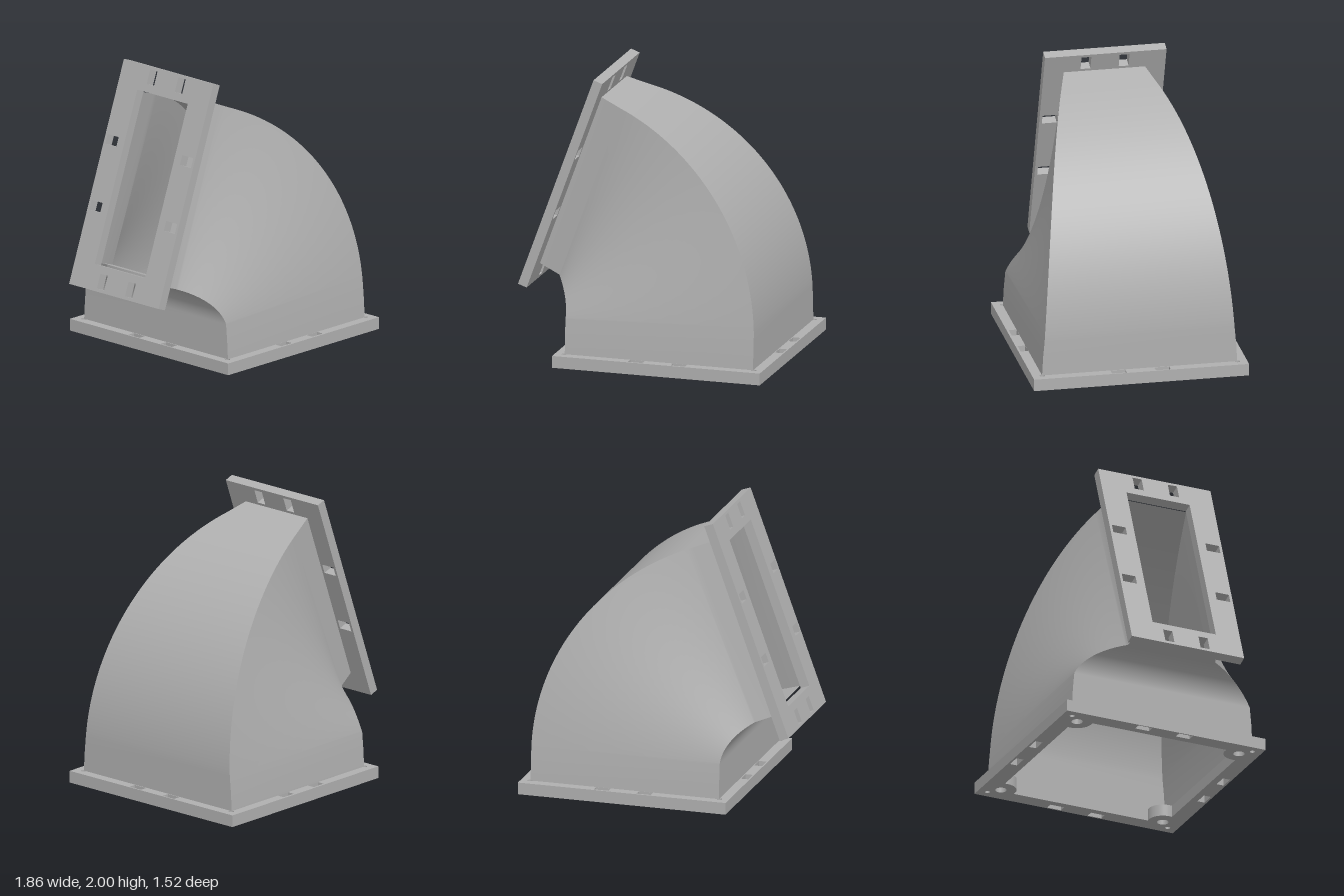
import * as THREE from 'three';

const SWEEP = THREE.MathUtils.degToRad(70);
const WALL = 0.045;
const BEND = { x: -0.74, y: 0.335 }; // centre of the elbow bend

// Cross-sections of the duct: origin on the inner bend line, direction, radii, half depth
function stations() {
  const list = [];
  const add = (angle, lift, outer, half) => list.push({ angle, lift, outer, half });
  add(0, -0.25, 1.6, 0.69);
  add(0, -0.12, 1.6, 0.683);
  const n = 40;
  for (let i = 0; i <= n; i++) {
    const p = i / n;
    add(p * SWEEP, 0, 1.6 - 0.06 * p, 0.672 - 0.13 * p - 0.207 * p * p);
  }
  add(SWEEP, 0.168, 1.54, 0.287);
  return list;
}

// Rectangular skin lofted through the stations, one smooth strip per side
function ductSkin(inset, inward) {
  const pos = [], index = [];
  const rings = stations().map(({ angle, lift, outer, half }) => {
    const c = Math.cos(angle), s = Math.sin(angle);
    const r0 = 0.23 + inset, r1 = outer - inset, h = half - inset;
    return [[r0, -h], [r1, -h], [r1, h], [r0, h]].map(([r, z]) =>
      [BEND.x + r * c - lift * s, BEND.y + r * s + lift * c, z]);
  });
  for (let k = 0; k < 4; k++) {
    const start = pos.length / 3;
    rings.forEach((ring, i) => {
      pos.push(...ring[k], ...ring[(k + 1) % 4]);
      if (i === rings.length - 1) return;
      const a = start + i * 2, b = a + 1, c = a + 2, d = a + 3;
      if (inward) index.push(a, b, c, b, d, c);
      else index.push(a, c, b, b, c, d);
    });
  }
  const geo = new THREE.BufferGeometry();
  geo.setAttribute('position', new THREE.Float32BufferAttribute(pos, 3));
  geo.setIndex(index);
  geo.computeVertexNormals();
  return geo;
}

function rectPath(cx, cy, w, h, Type = THREE.Path) {
  const p = new Type();
  p.moveTo(cx - w / 2, cy - h / 2);
  p.lineTo(cx + w / 2, cy - h / 2);
  p.lineTo(cx + w / 2, cy + h / 2);
  p.lineTo(cx - w / 2, cy + h / 2);
  p.closePath();
  return p;
}

function circlePath(x, y, r) {
  return new THREE.Path().absarc(x, y, r, 0, Math.PI * 2, false);
}

// Flat plate lying on its back, thickness along +y
function plate(shape, depth) {
  const geo = new THREE.ExtrudeGeometry(shape, { depth, bevelEnabled: false, curveSegments: 20 });
  return geo.rotateX(-Math.PI / 2);
}

// Square flange whose opening is bitten by four round screw bosses
function baseFlange() {
  const shape = rectPath(0, 0, 1.51, 1.52, THREE.Shape);
  const half = 0.64, boss = 0.62, radius = 0.108;
  const lean = Math.acos((half - boss) / radius);
  const opening = new THREE.Path();
  for (let k = 0; k < 4; k++) {
    const turn = k * Math.PI / 2;
    const spot = (d) => {
      const a = turn + Math.PI / 4, r = d * Math.SQRT2;
      return [r * Math.cos(a), r * Math.sin(a)];
    };
    opening.absarc(...spot(boss), radius, turn - lean, turn + Math.PI / 2 + lean, true);
    shape.holes.push(circlePath(...spot(boss), 0.04), circlePath(...spot(0.69), 0.018));
  }
  opening.closePath();
  shape.holes.push(opening);
  for (const side of [-1, 1]) {
    for (const off of [-0.155, 0.155]) {
      shape.holes.push(rectPath(off, side * 0.718, 0.105, 0.054));
      shape.holes.push(rectPath(side * 0.718, off, 0.054, 0.105));
    }
  }
  return plate(shape, 0.085);
}

// Narrow tilted flange with clip slots
function outletFlange() {
  const shape = rectPath(0, 0, 1.607, 0.86, THREE.Shape);
  shape.holes.push(rectPath(0, 0, 1.245, 0.484));
  for (const side of [-1, 1]) {
    for (const off of [-1, 1]) {
      shape.holes.push(rectPath(off * 0.235, side * 0.358, 0.07, 0.105));
      shape.holes.push(rectPath(side * 0.73, off * 0.135, 0.105, 0.07));
    }
  }
  return plate(shape, 0.067);
}

export function createModel() {
  const group = new THREE.Group();
  const grey = new THREE.MeshStandardMaterial({ color: 0xb0b0b0 });
  grey.name = 'plain grey';
  const add = (name, geo) => {
    const mesh = new THREE.Mesh(geo, grey);
    mesh.name = name;
    group.add(mesh);
    return mesh;
  };

  add('ductOuterSkin', ductSkin(0, false));
  add('ductInnerSkin', ductSkin(WALL, true));
  add('baseFlange', baseFlange()).position.set(0.175, 0, 0);

  const outlet = add('outletFlange', outletFlange());
  outlet.rotation.z = SWEEP;
  outlet.position.set(-0.595, 1.22, 0);
  return group;
}
